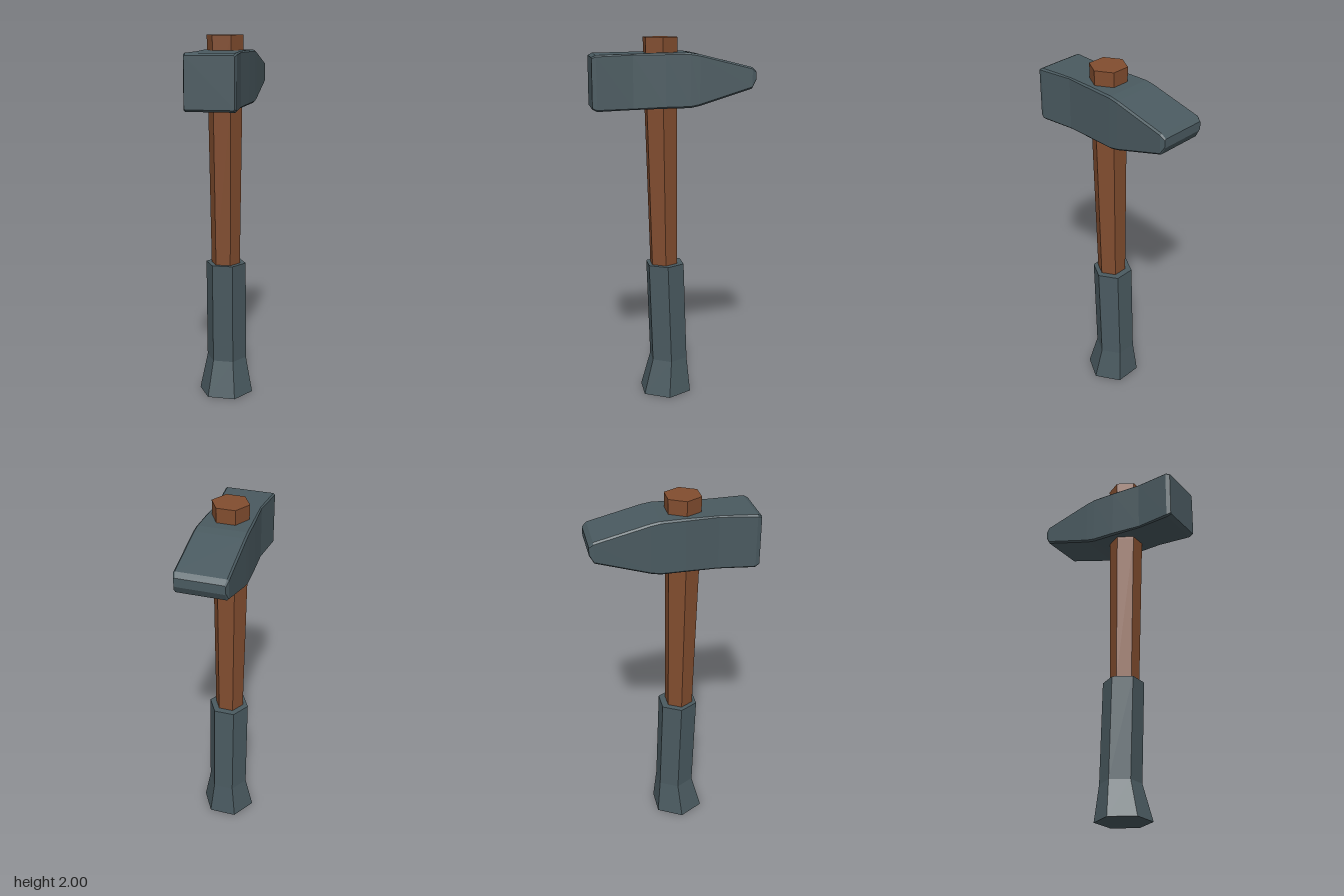
import * as THREE from 'three';

// Skin a list of closed rings (counter-clockwise seen from the far end) and cap both ends
function loft(rings) {
  const n = rings[0].length, pos = [];
  const tri = (...pts) => pts.forEach(p => pos.push(...p));
  for (let i = 0; i < rings.length - 1; i++) {
    for (let j = 0; j < n; j++) {
      const k = (j + 1) % n;
      const a = rings[i][j], b = rings[i][k], c = rings[i + 1][k], d = rings[i + 1][j];
      tri(a, b, c);
      tri(a, c, d);
    }
  }
  const first = rings[0], last = rings[rings.length - 1];
  for (let j = 1; j < n - 1; j++) {
    tri(first[0], first[j + 1], first[j]);
    tri(last[0], last[j], last[j + 1]);
  }
  const g = new THREE.BufferGeometry();
  g.setAttribute('position', new THREE.Float32BufferAttribute(pos, 3));
  g.computeVertexNormals();
  return g;
}

// Horizontal hexagon with corners on the x axis
function hexRing([y, z, r]) {
  return Array.from({ length: 6 }, (_, i) => {
    const a = Math.PI / 6 + i * Math.PI / 3;
    return [Math.sin(a) * r, y, z + Math.cos(a) * r];
  });
}

// Upright rectangle with chamfered corners
function headRing([z, w, bottom, top, c]) {
  return [
    [w, bottom + c, z], [w, top - c, z], [w - c, top, z], [-w + c, top, z],
    [-w, top - c, z], [-w, bottom + c, z], [-w + c, bottom, z], [w - c, bottom, z],
  ];
}

export function createModel() {
  const model = new THREE.Group();
  const steel = new THREE.MeshStandardMaterial({ color: 0x4a5a60 });
  const wood = new THREE.MeshStandardMaterial({ color: 0x824d2f });
  const add = (name, geometry, material) => {
    const mesh = new THREE.Mesh(geometry, material);
    mesh.name = name;
    model.add(mesh);
  };

  // Leaning wooden shaft: y, z centre, radius
  add('handle', loft([[0.7, 0.043, 0.079], [0.76, 0.044, 0.08], [1.62, 0.058, 0.093], [2, 0.06, 0.099]].map(hexRing)), wood);

  // Sleeve with flared foot
  add('grip', loft([[0, 0.035, 0.152], [0.2, 0.018, 0.112], [0.76, 0.037, 0.112]].map(hexRing)), steel);

  // Head from wedge to striking face: z, half width, bottom, top, chamfer
  add('head', loft([
    [-0.435, 0.128, 1.775, 1.822, 0.006],
    [-0.412, 0.136, 1.733, 1.845, 0.009],
    [-0.13, 0.136, 1.646, 1.914, 0.009],
    [-0.08, 0.135, 1.636, 1.922, 0.009],
    [0.05, 0.129, 1.634, 1.922, 0.009],
    [0.22, 0.117, 1.63, 1.918, 0.006],
    [0.412, 0.136, 1.625, 1.914, 0.009],
    [0.435, 0.128, 1.637, 1.902, 0.006],
  ].map(headRing)), steel);

  return model;
}
